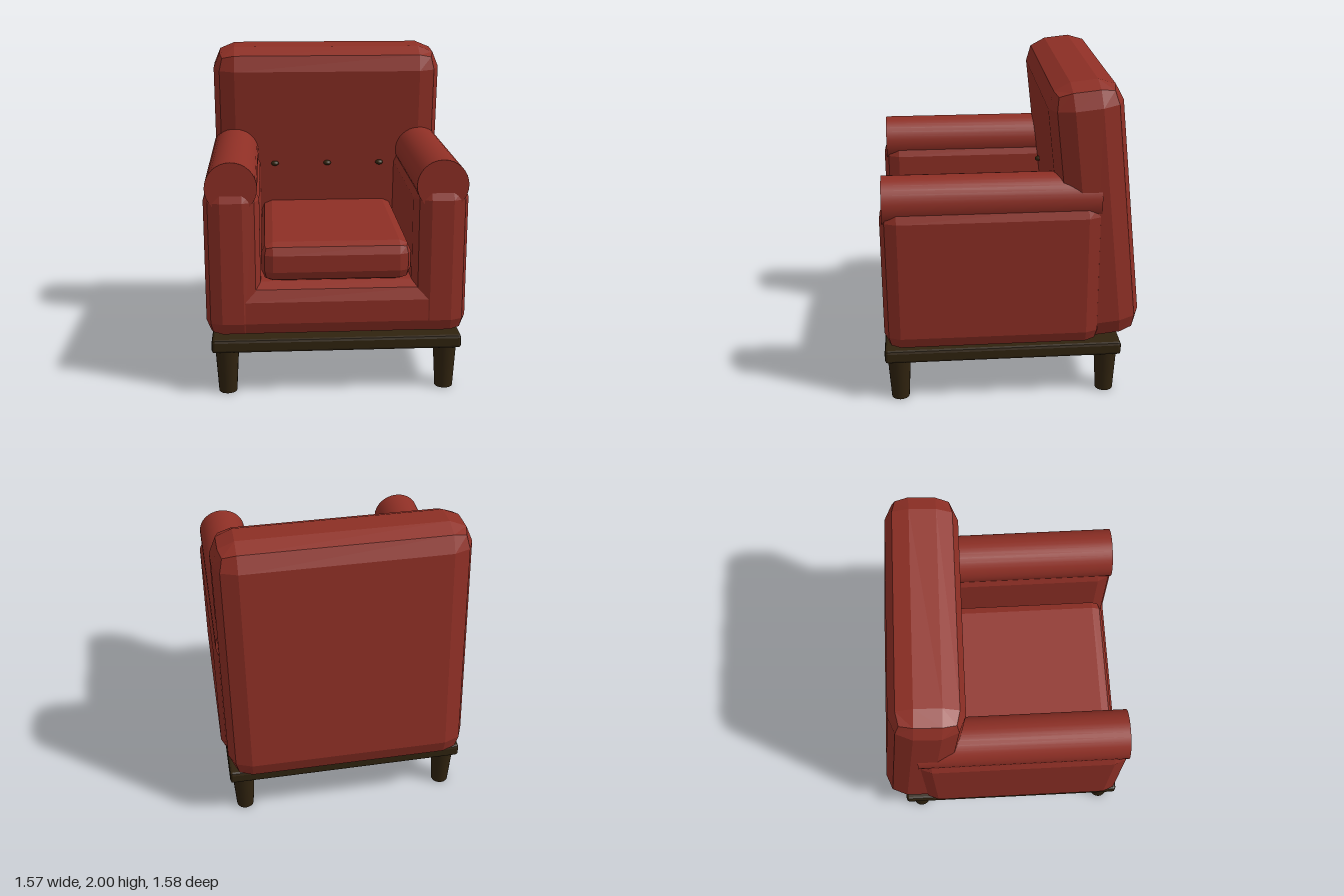
import * as THREE from 'three';
import { RoundedBoxGeometry } from 'three/addons/geometries/RoundedBoxGeometry.js';

const upholstery = new THREE.MeshStandardMaterial({ color: 0x8e2f25 });
const darkWood = new THREE.MeshStandardMaterial({ color: 0x30230f });

// Box with two-facet bevels and flat-shaded faces, given as [min, max] per axis
function bevelBox(name, [x0, x1], [y0, y1], [z0, z1], radius, material) {
  const geometry = new RoundedBoxGeometry(x1 - x0, y1 - y0, z1 - z0, 1, radius);
  geometry.computeVertexNormals();
  const mesh = new THREE.Mesh(geometry, material);
  mesh.name = name;
  mesh.position.set((x0 + x1) / 2, (y0 + y1) / 2, (z0 + z1) / 2);
  return mesh;
}

export function createModel() {
  const model = new THREE.Group();
  model.name = 'armchair';

  // Wooden plinth and tapered legs
  model.add(bevelBox('plinth', [-0.755, 0.755], [0.272, 0.356], [-0.67, 0.79], 0.018, darkWood));
  const legGeometry = new THREE.CylinderGeometry(0.072, 0.055, 0.28, 20);
  for (const x of [-0.665, 0.665]) {
    for (const z of [0.704, -0.584]) {
      const leg = new THREE.Mesh(legGeometry, darkWood);
      leg.name = 'leg';
      leg.position.set(x, 0.14, z);
      model.add(leg);
    }
  }

  // Seat base and loose cushion
  model.add(bevelBox('seatBase', [-0.66, 0.66], [0.356, 0.69], [-0.54, 0.784], 0.1, upholstery));
  model.add(bevelBox('seatCushion', [-0.45, 0.45], [0.69, 0.932], [-0.45, 0.737], 0.07, upholstery));

  // Arms, each topped with a round roll
  const rollGeometry = new THREE.CylinderGeometry(0.153, 0.153, 1.287, 32);
  rollGeometry.rotateX(Math.PI / 2);
  for (const side of [-1, 1]) {
    const label = side > 0 ? 'left' : 'right';
    const arm = bevelBox(label + 'Arm', [-0.165, 0.165], [0.356, 1.3], [-0.54, 0.787], 0.1, upholstery);
    arm.position.x = side * 0.62;
    const roll = new THREE.Mesh(rollGeometry, upholstery);
    roll.name = label + 'ArmRoll';
    roll.position.set(side * 0.618, 1.288, 0.126);
    model.add(arm, roll);
  }

  // Tilted backrest with a row of buttons on its front face
  const back = new THREE.Group();
  back.name = 'back';
  back.position.set(0, 1.1775, -0.497);
  back.rotation.x = 0.1065;
  back.add(bevelBox('backrest', [-0.755, 0.755], [-0.8165, 0.8165], [-0.2205, 0.2205], 0.14, upholstery));
  const buttonGeometry = new THREE.SphereGeometry(0.026, 16, 10);
  for (const x of [-0.355, 0, 0.355]) {
    const button = new THREE.Mesh(buttonGeometry, darkWood);
    button.name = 'button';
    button.scale.y = 0.65;
    button.position.set(x, 0.046, 0.222);
    back.add(button);
  }
  model.add(back);

  return model;
}
